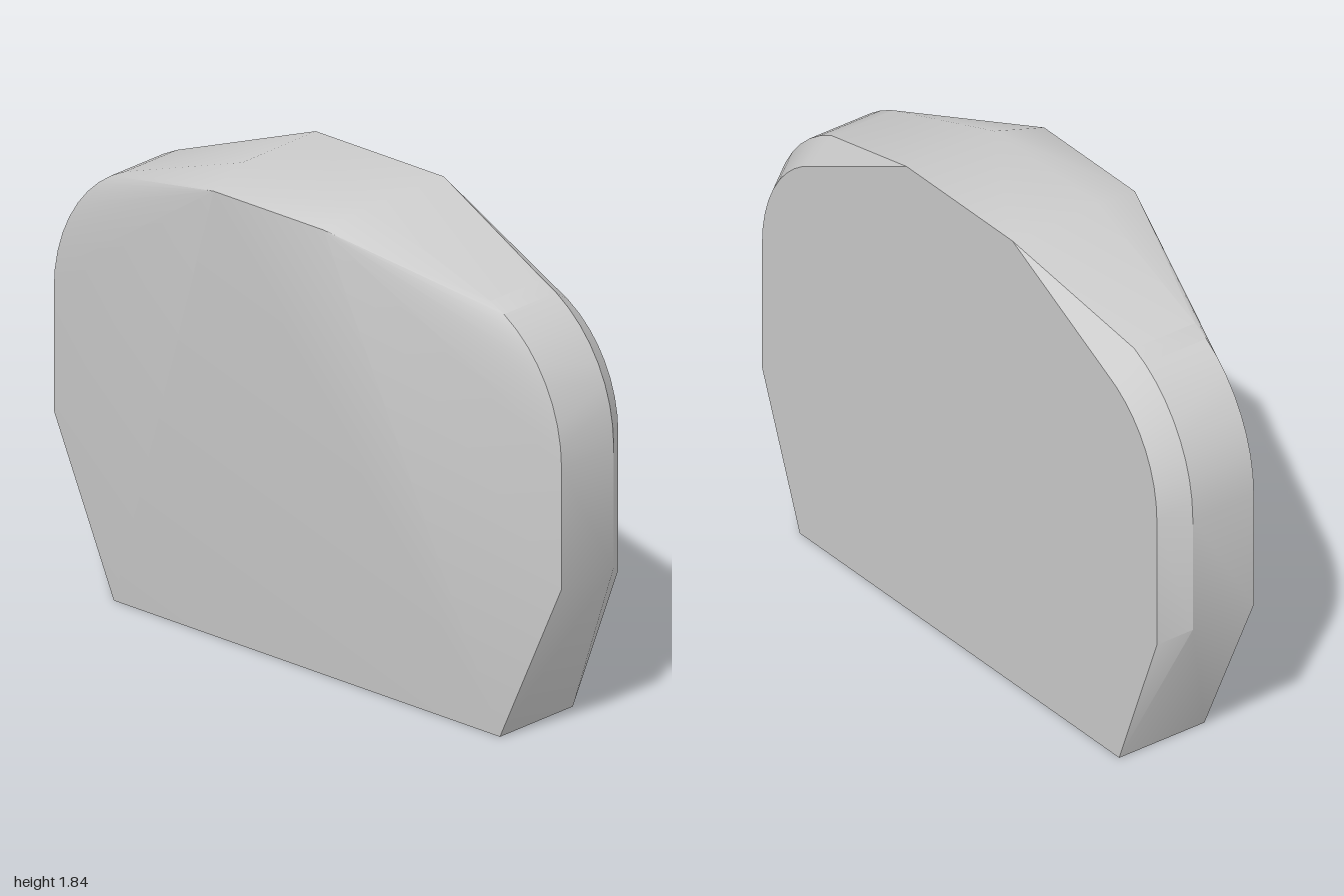
import * as THREE from 'three';
import { ConvexGeometry } from 'three/addons/geometries/ConvexGeometry.js';
import { toCreasedNormals } from 'three/addons/utils/BufferGeometryUtils.js';

const CREASE = 0.6;

// Half outline at depth z: flared foot, straight side, rounded shoulder.
function addOutline(points, z, halfWidth, footTop, shoulderHeight) {
  const steps = 9, cx = 0.68, cy = 1.1;
  for (const side of [-1, 1]) {
    points.push(new THREE.Vector3(side * halfWidth, footTop, z));
    for (let i = 0; i <= steps; i++) {
      const a = 1.2 * i / steps;
      points.push(new THREE.Vector3(
        side * (cx + (halfWidth - cx) * Math.cos(a)),
        cy + shoulderHeight * Math.sin(a), z));
    }
  }
}

// Mirrored pair of corner points.
function addPair(points, x, y, z) {
  for (const side of [-1, 1]) points.push(new THREE.Vector3(side * x, y, z));
}

export function createModel() {
  const group = new THREE.Group();
  const stone = new THREE.MeshStandardMaterial({ color: 0xcccccc });
  stone.name = 'paleGrey';

  const points = [];
  // Flat back face, bevelled ring and front rim
  addOutline(points, -0.22, 1.137, 0.58, 0.5);
  addOutline(points, -0.117, 1.21, 0.64, 0.58);
  addOutline(points, 0.153, 1.21, 0.64, 0.58);
  // Foot
  addPair(points, 0.92, 0, -0.22);
  addPair(points, 0.92, 0, 0.157);
  // Flat crown and its forward brow
  addPair(points, 0.305, 1.84, -0.22);
  addPair(points, 0.3, 1.84, 0.165);
  addPair(points, 0.262, 1.8, 0.355);

  const slab = new THREE.Mesh(toCreasedNormals(new ConvexGeometry(points), CREASE), stone);
  slab.name = 'slab';
  slab.rotation.y = -0.83; // stands diagonally
  group.add(slab);
  return group;
}
